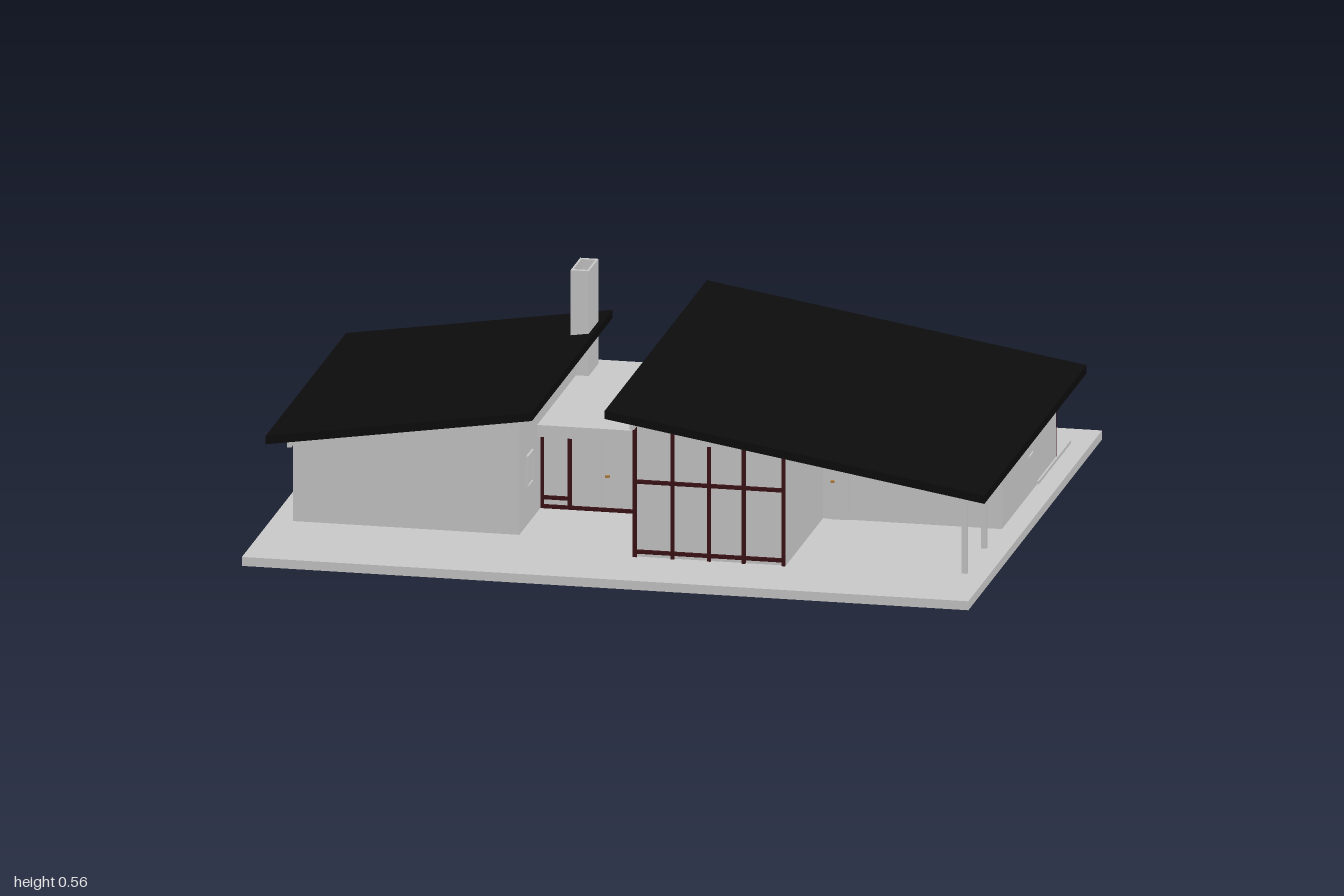
import * as THREE from 'three';

const wallMat = new THREE.MeshStandardMaterial({ color: 0xcccccc });
const roofMat = new THREE.MeshStandardMaterial({ color: 0x0c0c0c });
const frameMat = new THREE.MeshStandardMaterial({ color: 0x3c1216 });
const brassMat = new THREE.MeshStandardMaterial({ color: 0xb08040 });

const FLOOR = 0.025;
// underside heights of the two sloping roofs
const tallRoof = x => 0.253 + (1 - x) * 0.1655;
const lowRoof = x => 0.255 + (x + 1) * 0.151;

export function createModel() {
  const model = new THREE.Group();

  function box(name, mat, x0, x1, y0, y1, z0, z1, parent = model) {
    const mesh = new THREE.Mesh(new THREE.BoxGeometry(x1 - x0, y1 - y0, z1 - z0), mat);
    mesh.position.set((x0 + x1) / 2, (y0 + y1) / 2, (z0 + z1) / 2);
    mesh.name = name;
    parent.add(mesh);
    return mesh;
  }

  // prism between two height functions, running along z
  function prism(name, mat, x0, x1, z0, z1, bottom, top) {
    const shape = new THREE.Shape();
    shape.moveTo(x0, bottom(x0));
    shape.lineTo(x1, bottom(x1));
    shape.lineTo(x1, top(x1));
    shape.lineTo(x0, top(x0));
    shape.closePath();
    const geo = new THREE.ExtrudeGeometry(shape, { depth: z1 - z0, bevelEnabled: false });
    const mesh = new THREE.Mesh(geo, mat);
    mesh.position.z = z0;
    mesh.name = name;
    model.add(mesh);
  }

  // glazing frame facing front or back: mullions, rails and a sloping head
  function glazing(name, xs, z, y0, top, rails) {
    const group = new THREE.Group();
    group.name = name;
    const w = 0.005, d = 0.007, last = xs[xs.length - 1];
    xs.forEach(x => box('mullion', frameMat, x - w, x + w, y0, top(x), z - d, z + d, group));
    rails.forEach(y => box('rail', frameMat, xs[0], last, y - w, y + w, z - d, z + d, group));
    const dx = last - xs[0], dy = top(last) - top(xs[0]);
    const head = new THREE.Mesh(new THREE.BoxGeometry(Math.hypot(dx, dy), 2 * w, 2 * d), frameMat);
    head.position.set((xs[0] + last) / 2, (top(xs[0]) + top(last)) / 2 - w, z);
    head.rotation.z = Math.atan2(dy, dx);
    head.name = 'head';
    group.add(head);
    model.add(group);
  }

  // framed window on a side wall at x
  function sideWindow(name, x, z0, z1, y0, y1) {
    const group = new THREE.Group();
    group.name = name;
    const t = 0.006, a = x - t, b = x + t;
    box('pane', wallMat, x - 0.002, x + 0.002, y0, y1, z0, z1, group);
    for (const z of [z0, z1 - t]) box('jamb', wallMat, a, b, y0, y1, z, z + t, group);
    for (const y of [y0, y1 - t]) box('rail', wallMat, a, b, y, y + t, z0, z1, group);
    model.add(group);
  }

  // ground slab and rear terrace
  box('groundSlab', wallMat, -1, 0.99, 0, FLOOR, -0.84, 0.835);
  box('rearTerrace', wallMat, -0.68, 0.935, FLOOR, 0.034, -0.7, -0.3);

  // walls
  const floor = () => FLOOR;
  prism('tallWingRear', wallMat, 0.02, 0.93, -0.535, 0.14, floor, tallRoof);
  prism('tallWingFront', wallMat, 0.02, 0.44, 0.14, 0.605, floor, tallRoof);
  prism('lowWing', wallMat, -0.94, -0.32, -0.4, 0.47, floor, lowRoof);
  box('entryHall', wallMat, -0.32, 0.02, FLOOR, 0.235, -0.26, 0.2);

  // roofs
  prism('tallRoof', roofMat, -0.04, 1, -0.6, 0.68, tallRoof, x => tallRoof(x) + 0.023);
  prism('lowRoof', roofMat, -1, -0.27, -0.47, 0.54, lowRoof, x => lowRoof(x) + 0.023);
  box('flatRoof', wallMat, -0.32, 0.02, 0.235, 0.268, -0.4, 0.247);

  // purlins under the roofs
  for (const x of [0.03, 0.24, 0.58, 0.92])
    prism('tallPurlin', wallMat, x - 0.006, x + 0.006, -0.57, 0.66, () => tallRoof(x) - 0.02, tallRoof);
  for (const x of [-0.94, -0.64, -0.34])
    prism('lowPurlin', wallMat, x - 0.006, x + 0.006, -0.45, 0.52, () => lowRoof(x) - 0.02, lowRoof);

  // carport posts
  for (const z of [0.572, 0.325])
    box('carportPost', wallMat, 0.915, 0.93, FLOOR, 0.257, z - 0.007, z + 0.007);

  // large glazed walls
  const under = x => tallRoof(x) - 0.003;
  glazing('frontGlazing', [0.027, 0.13, 0.23, 0.325, 0.434], 0.606, FLOOR, under, [0.04, 0.235]);
  glazing('rearGlazing', [0.027, 0.125, 0.22, 0.315, 0.415], -0.536, FLOOR, under, [0.04, 0.235]);
  glazing('rearSideGlazing', [0.63, 0.73, 0.83, 0.925], -0.536, FLOOR, under, [0.04, 0.195]);
  glazing('lowRearGlazing', [-0.63, -0.53, -0.425, -0.325], -0.401, FLOOR, x => lowRoof(x) - 0.003, [0.04, 0.2]);

  // entry fronts with a door in the middle bay
  for (const [side, z, s] of [['front', 0.2, 1], ['rear', -0.26, -1]]) {
    glazing(side + 'EntryGlazing', [-0.317, -0.24, -0.06, 0.012], z, FLOOR, () => 0.238, [0.03]);
    for (const [a, b] of [[-0.317, -0.24], [-0.06, 0.012]])
      box('entryRail', frameMat, a, b, 0.05, 0.06, z - 0.007, z + 0.007);
    for (const x of [-0.228, -0.145])
      box(side + 'EntryDoor', wallMat, x, x + 0.075, 0.037, 0.225, z - 0.004, z + 0.004);
    box('entryHandle', brassMat, -0.142, -0.13, 0.122, 0.128, z + s * 0.008 - 0.005, z + s * 0.008 + 0.005);
  }

  // carport door
  box('carportDoor', wallMat, 0.455, 0.51, FLOOR, 0.24, 0.135, 0.145);
  box('carportDoorHandle', brassMat, 0.463, 0.473, 0.128, 0.134, 0.143, 0.152);

  // side windows and the clerestory row above the flat roof
  sideWindow('tallSideWindow', 0.93, -0.235, -0.165, 0.13, 0.225);
  sideWindow('entryCourtWindow', -0.32, 0.315, 0.385, 0.13, 0.22);
  for (const [a, b] of [[-0.36, -0.18], [-0.01, 0.13], [0.24, 0.38]])
    sideWindow('lowSideWindow', -0.94, a, b, 0.11, 0.22);
  for (let i = 0; i < 6; i++) {
    const z = -0.38 + i * 0.16;
    sideWindow('clerestoryWindow', 0.02, z, z + 0.14, 0.295, 0.385);
  }

  // hollow chimney
  const chimney = new THREE.Group();
  chimney.name = 'chimney';
  for (const x of [-0.335, -0.291])
    box('chimneySide', wallMat, x, x + 0.006, FLOOR, 0.56, -0.362, -0.24, chimney);
  for (const z of [-0.362, -0.252])
    box('chimneyEnd', wallMat, -0.329, -0.291, FLOOR, 0.56, z, z + 0.012, chimney);
  model.add(chimney);

  return model;
}
